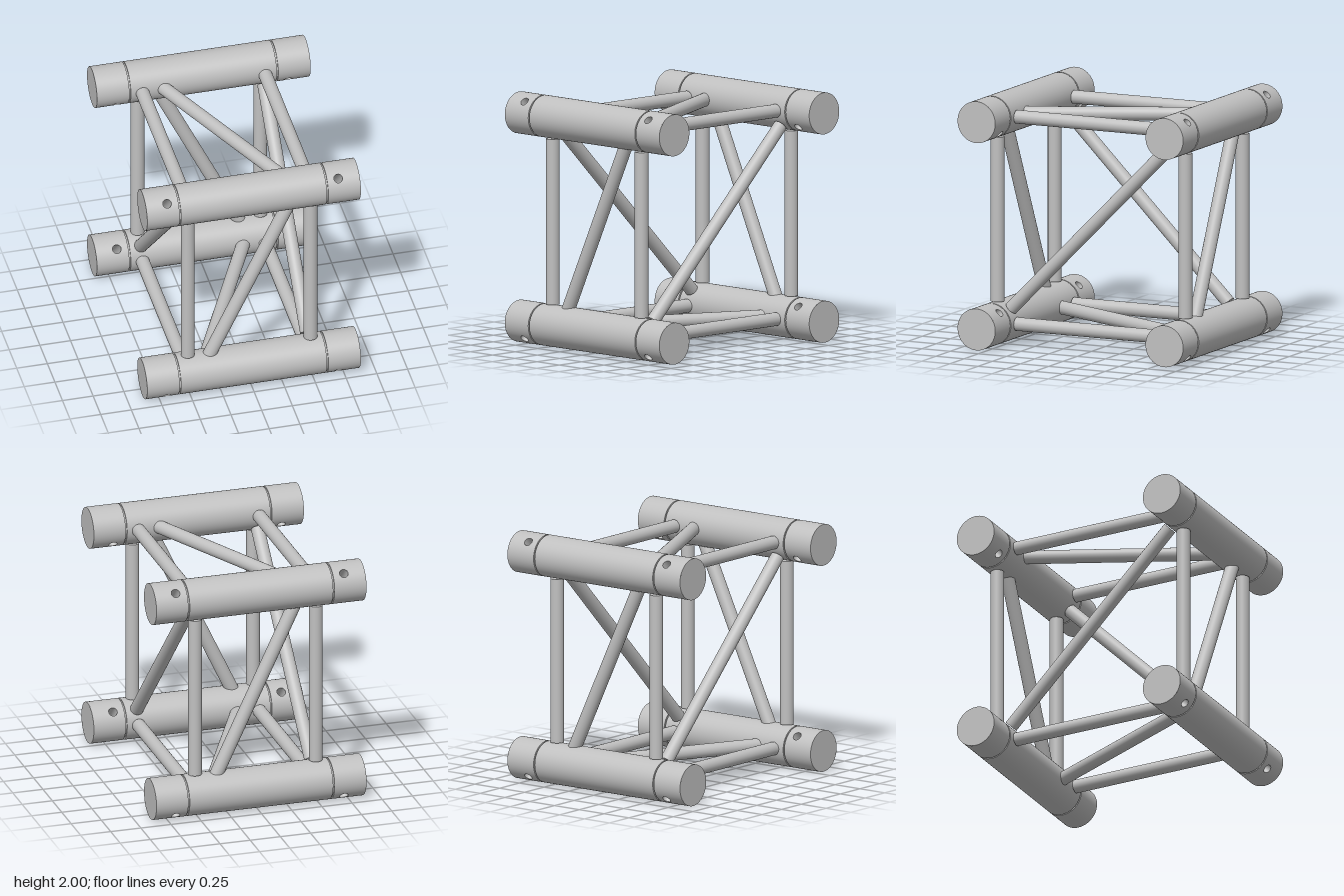
import * as THREE from 'three';

const R = 0.167;        // chord radius
const C = 0.833;        // chord offset from the centre line
const END = 0.87;       // half chord length
const GROOVE = 0.6;     // groove position along the chord
const GAP = 0.006;      // half groove width
const HOLE_X = 0.697, HOLE_R = 0.035;
const STRUT_R = 0.054, STRUT_X = 0.5;
const WIDE = Math.PI / 6; // half angle of the patch around a pin hole

// Smooth grid surface; fn(u, v) returns [position, normal]
function grid(nu, nv, fn) {
  const pos = [], nor = [], idx = [];
  for (let i = 0; i <= nu; i++) for (let j = 0; j <= nv; j++) {
    const [p, n] = fn(i / nu, j / nv);
    pos.push(...p);
    nor.push(...n);
    if (i < nu && j < nv) {
      const a = i * (nv + 1) + j, b = a + nv + 1;
      idx.push(a, b, a + 1, b, b + 1, a + 1);
    }
  }
  const g = new THREE.BufferGeometry();
  g.setAttribute('position', new THREE.Float32BufferAttribute(pos, 3));
  g.setAttribute('normal', new THREE.Float32BufferAttribute(nor, 3));
  g.setIndex(idx);
  return g;
}

// Point on the chord skin at length x and angle a from the hole axis (+y)
const skin = (x, a) => [[x, R * Math.cos(a), R * Math.sin(a)], [0, Math.cos(a), Math.sin(a)]];

export function createModel() {
  const metal = new THREE.MeshStandardMaterial({ color: 0xc0c0c0 });
  metal.name = 'aluminium grey';

  const add = (parent, name, geometry) => {
    const m = new THREE.Mesh(geometry, metal);
    m.name = name;
    parent.add(m);
    return m;
  };

  const root = new THREE.Group();
  root.name = 'trussSegment';
  const frame = new THREE.Group();
  frame.name = 'frame';
  frame.position.y = 1;
  root.add(frame);

  // Skin of a coupler end: a patch with a round hole, and the plain arc beside it
  const x0 = GROOVE + GAP;
  const corners = [[END, -WIDE], [END, WIDE], [x0, WIDE], [x0, -WIDE]];
  const startAngle = corners.map(([x, a]) => Math.atan2(a * R, x - HOLE_X));
  const patch = grid(48, 6, (u, v) => {
    const k = Math.min(3, Math.floor(u * 4 + 1e-9)), f = u * 4 - k, n = (k + 1) % 4;
    let t1 = startAngle[n];
    if (t1 < startAngle[k]) t1 += 2 * Math.PI;
    const t = THREE.MathUtils.lerp(startAngle[k], t1, f);
    const rim = [HOLE_X + HOLE_R * Math.cos(t), Math.asin(HOLE_R * Math.sin(t) / R)];
    const edge = [0, 1].map((c) => THREE.MathUtils.lerp(corners[k][c], corners[n][c], f));
    return skin(THREE.MathUtils.lerp(rim[0], edge[0], v), THREE.MathUtils.lerp(rim[1], edge[1], v));
  });
  const arc = grid(24, 1, (u, v) =>
    skin(THREE.MathUtils.lerp(x0, END, v), THREE.MathUtils.lerp(WIDE, Math.PI - WIDE, u)));

  // Wall of the pin hole, running right through the chord
  const bore = grid(32, 1, (u, v) => {
    const t = u * 2 * Math.PI, z = HOLE_R * Math.sin(t);
    const y = Math.sqrt(R * R - z * z) * (v * 2 - 1);
    return [[HOLE_X + HOLE_R * Math.cos(t), y, z], [-Math.cos(t), 0, -Math.sin(t)]];
  });

  const disc = new THREE.CircleGeometry(R, 64).rotateY(Math.PI / 2);
  const body = new THREE.CylinderGeometry(R, R, 2 * (GROOVE - GAP), 64).rotateZ(Math.PI / 2);
  const neck = new THREE.CylinderGeometry(R - 0.012, R - 0.012, 4 * GAP, 64, 1, true).rotateZ(Math.PI / 2);

  // Four main chords with a coupler at each end
  for (const sy of [-1, 1]) for (const sz of [-1, 1]) {
    const chord = new THREE.Group();
    chord.name = `${sy > 0 ? 'top' : 'bottom'}${sz > 0 ? 'Front' : 'Back'}Chord`;
    chord.position.set(0, sy * C, sz * C);
    chord.rotation.x = sy * sz * Math.PI / 4;
    frame.add(chord);
    add(chord, 'chordBody', body);
    for (const turn of [0, Math.PI]) {
      const end = new THREE.Group();
      end.name = 'couplerEnd';
      end.rotation.y = turn;
      chord.add(end);
      for (const half of [0, Math.PI]) {
        add(end, 'pinHoleSkin', patch).rotation.x = half;
        add(end, 'couplerSkin', arc).rotation.x = half;
      }
      add(end, 'pinHole', bore);
      add(end, 'grooveNeck', neck).position.x = GROOVE;
      add(end, 'endCap', disc).position.x = END;
      const inner = add(end, 'innerFace', disc);
      inner.position.x = x0;
      inner.rotation.y = Math.PI;
    }
  }

  // Round tube between two points
  const strut = (parent, name, from, to) => {
    const a = new THREE.Vector3(...from), b = new THREE.Vector3(...to);
    const dir = b.clone().sub(a);
    const m = add(parent, name, new THREE.CylinderGeometry(STRUT_R, STRUT_R, dir.length(), 32));
    m.position.copy(a).add(b).multiplyScalar(0.5);
    m.quaternion.setFromUnitVectors(new THREE.Vector3(0, 1, 0), dir.normalize());
  };

  // Four long faces: two rungs and one diagonal each, the diagonals alternating
  const rungEnd = C - R - 0.004;
  ['front', 'bottom', 'back', 'top'].forEach((name, k) => {
    const face = new THREE.Group();
    face.name = `${name}Lacing`;
    face.rotation.x = k * Math.PI / 2;
    frame.add(face);
    for (const x of [-STRUT_X, STRUT_X]) strut(face, 'rung', [x, -rungEnd, C], [x, rungEnd, C]);
    const dx = k % 2 ? -0.325 : 0.325;
    strut(face, 'diagonal', [-dx, -0.69, C], [dx, 0.69, C]);
  });

  // One cross brace at each open end, leaning opposite ways
  const d = C - (R + 0.006) * Math.SQRT1_2;
  for (const s of [-1, 1]) strut(frame, 'endBrace', [s * STRUT_X, -d, s * d], [s * STRUT_X, d, -s * d]);

  return root;
}
